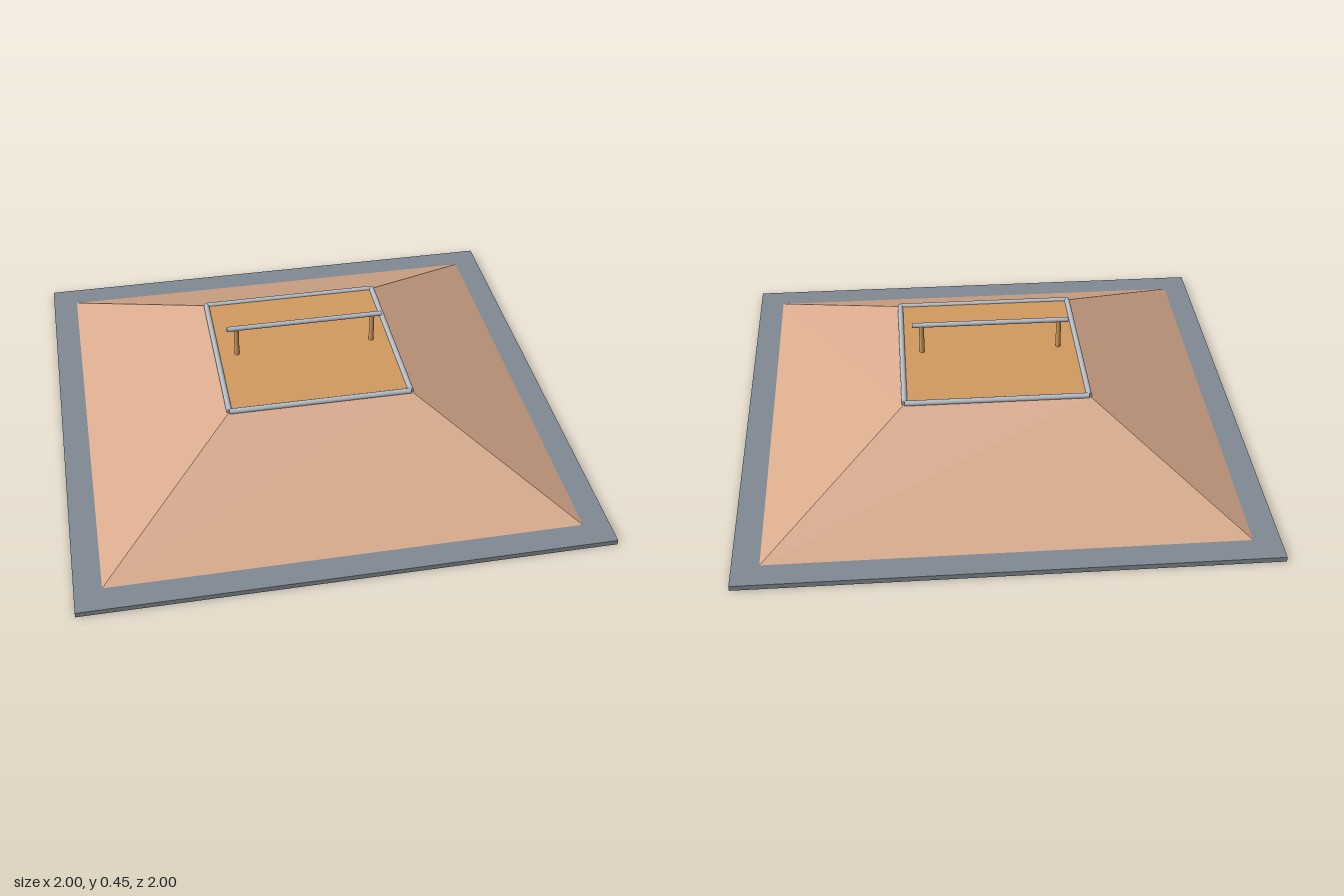
import * as THREE from 'three';

export function createModel() {
  const model = new THREE.Group();
  model.name = 'pyramidRamp';
  const material = (name, color) => {
    const m = new THREE.MeshStandardMaterial({ color });
    m.name = name;
    return m;
  };
  const concrete = material('slate grey', 0x808994);
  const slope = material('pale terracotta', 0xd8aa8c);
  const wood = material('warm wood', 0xd09a5e);
  const steel = material('light steel', 0xb4bbc4);

  const add = (name, geometry, mat, x, y, z) => {
    const mesh = new THREE.Mesh(geometry, mat);
    mesh.name = name;
    mesh.position.set(x, y, z);
    model.add(mesh);
    return mesh;
  };

  // Thin square ground slab
  add('baseSlab', new THREE.BoxGeometry(2, 0.02, 2), concrete, 0, 0.01, 0);

  // Four sloped sides: a box whose top corners are drawn inward
  const ramp = new THREE.BoxGeometry(1.8, 0.295, 1.8);
  const p = ramp.attributes.position;
  for (let i = 0; i < p.count; i++) {
    if (p.getY(i) > 0) {
      p.setX(i, Math.sign(p.getX(i)) * 0.355);
      p.setZ(i, Math.sign(p.getZ(i)) * 0.355);
    }
  }
  ramp.computeVertexNormals();
  add('rampSides', ramp, slope, 0, 0.1665, 0);

  // Wooden deck on top
  add('topDeck', new THREE.BoxGeometry(0.7, 0.006, 0.7), wood, 0, 0.313, 0);

  // Round steel coping along the four deck edges
  const coping = new THREE.CylinderGeometry(0.011, 0.011, 0.71, 16);
  for (const side of [-1, 1]) {
    add('copingAlongX', coping, steel, 0, 0.315, side * 0.355).rotation.z = Math.PI / 2;
    add('copingAlongZ', coping, steel, side * 0.355, 0.315, 0).rotation.x = Math.PI / 2;
  }

  // Grind rail on two posts
  const post = new THREE.CylinderGeometry(0.01, 0.01, 0.125, 16);
  for (const side of [-1, 1]) add('railPost', post, wood, side * 0.275, 0.3735, 0);
  const rail = new THREE.CylinderGeometry(0.01, 0.01, 0.625, 16);
  add('grindRail', rail, steel, 0, 0.44, 0).rotation.z = Math.PI / 2;

  return model;
}
